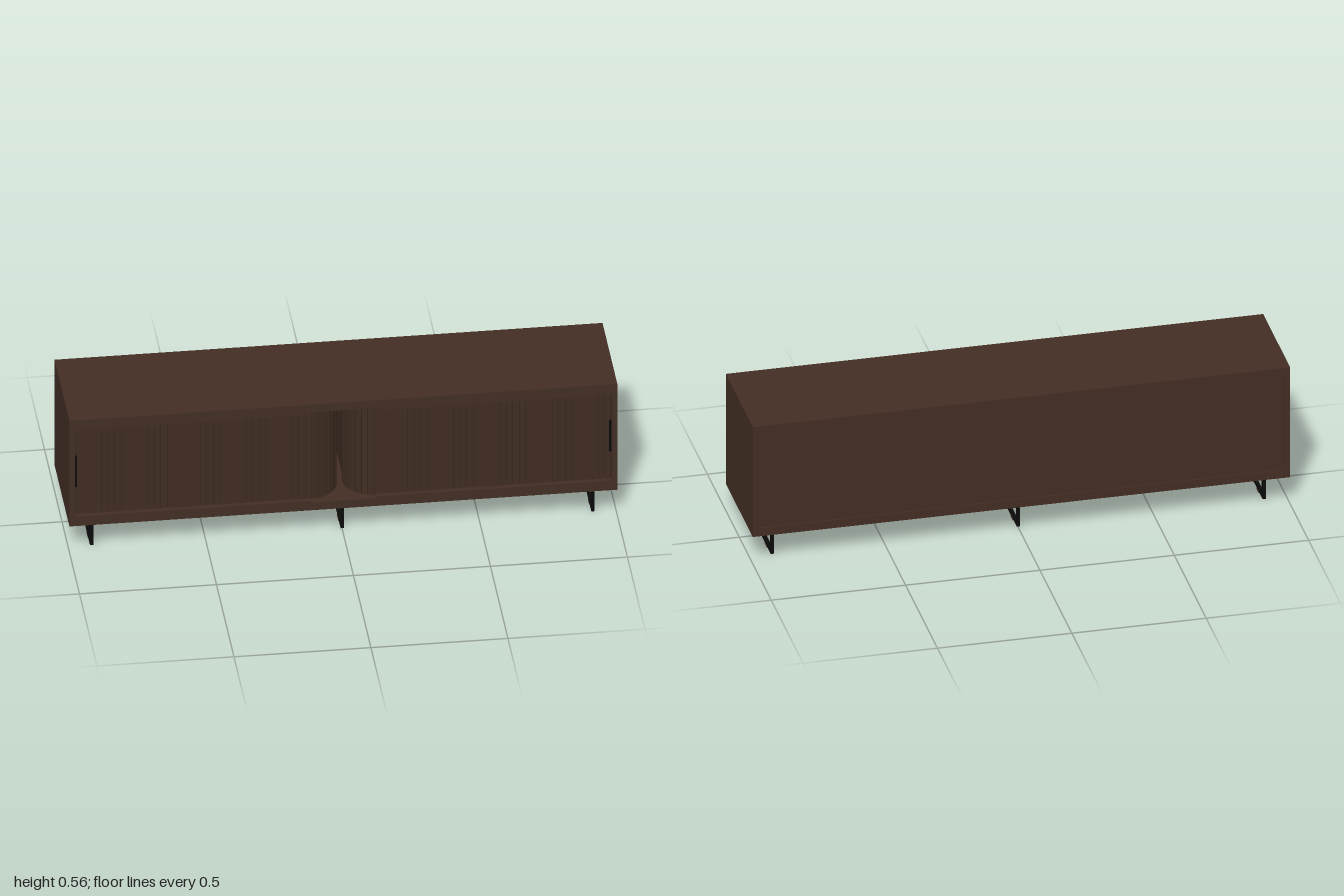
import * as THREE from 'three';

const mat = (name, color, side = THREE.FrontSide) => {
  const m = new THREE.MeshStandardMaterial({ color, side });
  m.name = name;
  return m;
};

export function createModel() {
  const wood = mat('walnut', 0x432e24);
  const slatWood = mat('slat walnut', 0x3f2c21);
  const black = mat('black metal', 0x0a0a0a);
  const pad = mat('foot pad brown', 0x4a2e26);
  const model = new THREE.Group();
  model.name = 'sideboard';

  // Box given by its min and max on each axis
  function box(parent, name, material, [x0, x1], [y0, y1], [z0, z1]) {
    const mesh = new THREE.Mesh(new THREE.BoxGeometry(x1 - x0, y1 - y0, z1 - z0), material);
    mesh.position.set((x0 + x1) / 2, (y0 + y1) / 2, (z0 + z1) / 2);
    mesh.name = name;
    parent.add(mesh);
    return mesh;
  }

  // Carcass
  const front = 0.212, back = -0.212, low = 0.143, high = 0.527;
  box(model, 'topBoard', wood, [-1, 1], [high, 0.56], [back, front]);
  box(model, 'bottomBoard', wood, [-1, 1], [0.11, low], [back, front]);
  box(model, 'backPanel', wood, [-0.98, 0.98], [low, high], [-0.208, -0.196]);

  // Tambour door layout: straight run, quarter bend inward, then a return to the back
  const doorZ = 0.196, radius = 0.105, bendX = 0.115, endX = 0.978;
  const bendZ = doorZ - radius;
  const slatGeometry = new THREE.BoxGeometry(0.0195, 0.366, 0.012);

  for (const s of [-1, 1]) {
    const span = (a, b) => (s > 0 ? [a, b] : [-b, -a]);
    const label = s > 0 ? 'left' : 'right';
    box(model, label + 'SidePanel', wood, span(0.98, 1), [low, high], [back, front]);
    box(model, label + 'LowerRail', wood, span(0.12, 0.98), [low, 0.15], [0.18, front]);
    box(model, label + 'UpperRail', wood, span(0.12, 0.98), [0.517, high], [0.18, front]);

    const door = new THREE.Group();
    door.name = label + 'TambourDoor';
    model.add(door);

    // Backing sheet that follows the bend
    const shape = new THREE.Shape();
    const inner = radius - 0.016, outer = radius - 0.008;
    shape.moveTo(s * endX, -bendZ - outer);
    shape.lineTo(s * bendX, -bendZ - outer);
    for (let i = 1; i <= 12; i++) {
      const a = (i / 12) * Math.PI / 2;
      shape.lineTo(s * (bendX - outer * Math.sin(a)), -bendZ - outer * Math.cos(a));
    }
    shape.lineTo(s * (bendX - outer), 0.196);
    shape.lineTo(s * (bendX - inner), 0.196);
    for (let i = 12; i >= 0; i--) {
      const a = (i / 12) * Math.PI / 2;
      shape.lineTo(s * (bendX - inner * Math.sin(a)), -bendZ - inner * Math.cos(a));
    }
    shape.lineTo(s * endX, -bendZ - inner);
    const backing = new THREE.Mesh(
      new THREE.ExtrudeGeometry(shape, { depth: high - low, bevelEnabled: false }), slatWood);
    backing.rotation.x = -Math.PI / 2;
    backing.scale.y = 1;
    backing.position.y = low;
    backing.name = 'doorBacking';
    door.add(backing);

    // Slats on the straight run and around the bend
    const addSlat = (x, z, turn) => {
      const slat = new THREE.Mesh(slatGeometry, slatWood);
      slat.position.set(s * x, 0.334, z);
      slat.rotation.y = -s * turn;
      slat.name = 'slat';
      door.add(slat);
    };
    const count = 36, pitch = (endX - bendX) / count;
    for (let i = 0; i < count; i++) addSlat(bendX + (i + 0.5) * pitch, doorZ - 0.006, 0);
    for (let i = 0; i < 7; i++) {
      const a = ((i + 0.5) / 7) * Math.PI / 2, r = radius - 0.006;
      addSlat(bendX - r * Math.sin(a), bendZ + r * Math.cos(a), a);
    }

    // Slim pull near the outer end
    box(door, 'doorPull', black, span(0.972, 0.979), [0.27, 0.4], [0.19, 0.203]);
  }

  // Loop legs
  for (const x of [-0.915, 0, 0.915]) {
    const leg = new THREE.Group();
    leg.name = 'loopLeg';
    leg.position.x = x;
    model.add(leg);
    const w = [-0.006, 0.006];
    box(leg, 'legTopBar', black, w, [0.091, 0.105], [-0.162, 0.18]);
    box(leg, 'legFloorBar', black, w, [0.005, 0.019], [-0.162, 0.18]);
    box(leg, 'legFrontPost', black, w, [0.019, 0.091], [0.166, 0.18]);
    box(leg, 'legBackPost', black, w, [0.019, 0.091], [-0.162, -0.148]);
    box(leg, 'mountingPlate', black, w, [0.105, 0.11], [-0.102, 0.12]);
    for (const z of [0.087, -0.102])
      box(leg, 'footPad', pad, [-0.007, 0.007], [0, 0.008], [z, z + 0.033]);
  }
  return model;
}
